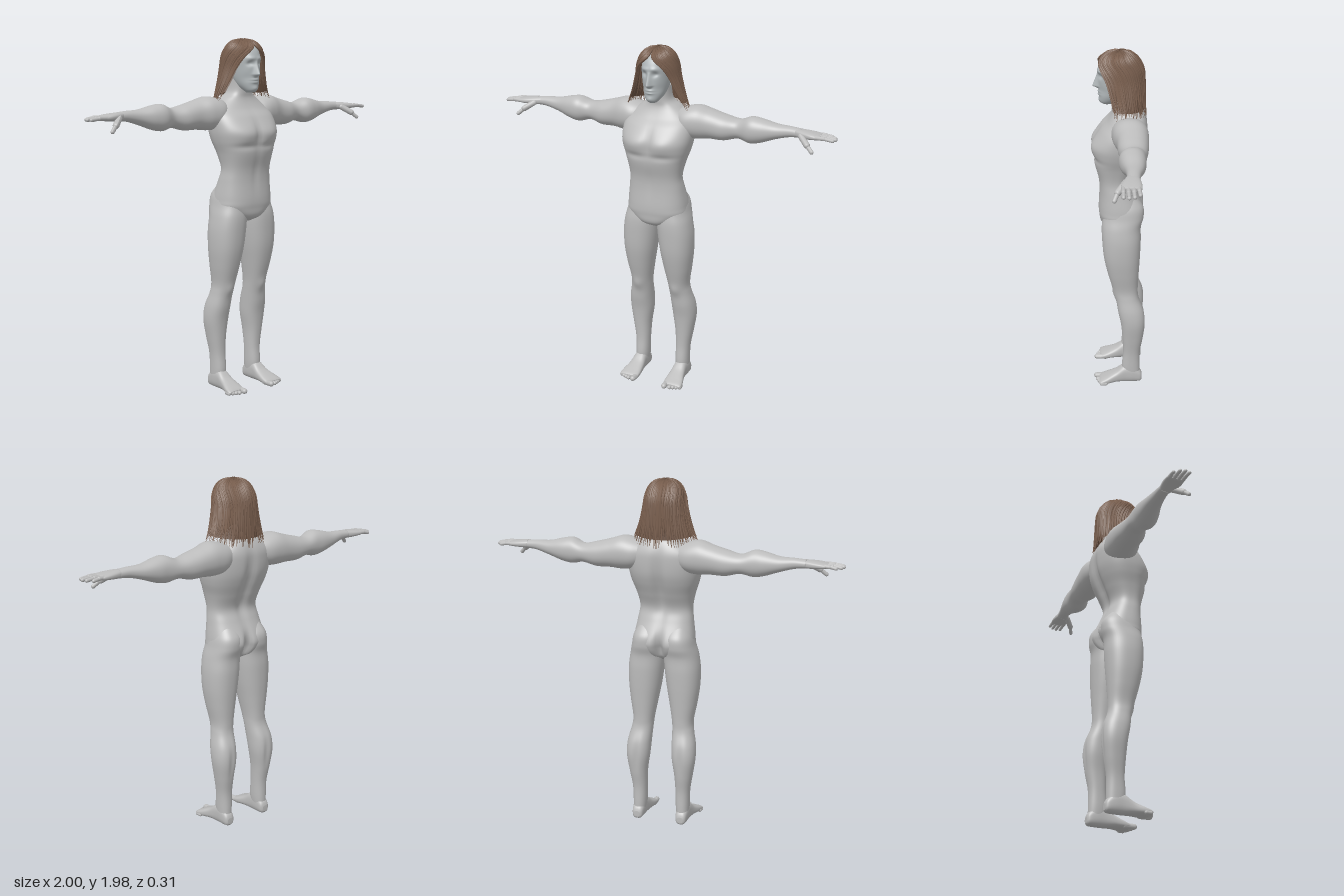
import * as THREE from 'three';

const paint = (name, color, side = THREE.FrontSide) => {
  const m = new THREE.MeshStandardMaterial({ color, side });
  m.name = name;
  return m;
};

// Smooth interpolation through the rows of a section table, v in 0..1
function sample(rows, v) {
  const n = rows.length - 1, s = Math.min(Math.max(v, 0), 1) * n;
  const i = Math.min(Math.floor(s), n - 1), f = s - i;
  const r = k => rows[Math.min(Math.max(k, 0), n)];
  return rows[i].map((_, c) => {
    const p0 = r(i - 1)[c], p1 = r(i)[c], p2 = r(i + 1)[c], p3 = r(i + 2)[c];
    return p1 + 0.5 * f * (p2 - p0 + f * (2 * p0 - 5 * p1 + 4 * p2 - p3 + f * (3 * (p1 - p2) + p3 - p0)));
  });
}

// Grid surface: point(i, j) gives [x, y, z]; closed joins the last column to the first
function grid(nu, nv, closed, point) {
  const pos = [], idx = [], cols = closed ? nu : nu + 1;
  for (let j = 0; j <= nv; j++) for (let i = 0; i < cols; i++) pos.push(...point(i, j));
  for (let j = 0; j < nv; j++) for (let i = 0; i < nu; i++) {
    const k = (i + 1) % cols, a = j * cols + i, b = a + cols, c = j * cols + k, d = c + cols;
    idx.push(a, b, c, c, b, d);
  }
  const g = new THREE.BufferGeometry();
  g.setAttribute('position', new THREE.Float32BufferAttribute(pos, 3));
  g.setIndex(idx);
  g.computeVertexNormals();
  return g;
}

// Capped loft along an axis; each section is [t, aLow, aHigh, bLow, bHigh]
const AXES = { x: (t, a, b) => [t, b, a], y: (t, a, b) => [a, t, b], z: (t, a, b) => [b, a, t] };
function loft(axis, rows, { n = 2.3, seg = 48, steps = 7, sculpt } = {}) {
  const nv = (rows.length - 1) * steps;
  const pw = c => Math.sign(c) * Math.abs(c) ** (2 / n);
  return grid(seg, nv + 2, true, (i, j) => {
    const [t, a0, a1, b0, b1] = sample(rows, (j - 1) / nv);
    const q = (i / seg) * Math.PI * 2, k = j === 0 || j === nv + 2 ? 0 : 1;
    const p = AXES[axis](t, (a0 + a1) / 2 + k * pw(Math.cos(q)) * (a1 - a0) / 2,
      (b0 + b1) / 2 + k * pw(Math.sin(q)) * (b1 - b0) / 2);
    if (sculpt) sculpt(p);
    return p;
  });
}
const symmetric = rows => rows.map(([y, w, back, front]) => [y, -w, w, back, front]);
const bell = (d, s) => Math.exp(-(d * d) / (s * s));

// Rounded rod between two points
function rod(a, b, r) {
  const A = new THREE.Vector3(...a), B = new THREE.Vector3(...b), d = B.clone().sub(A);
  const g = new THREE.CapsuleGeometry(r, d.length(), 5, 10);
  g.applyQuaternion(new THREE.Quaternion().setFromUnitVectors(new THREE.Vector3(0, 1, 0), d.normalize()));
  const m = A.add(B).multiplyScalar(0.5);
  return g.translate(m.x, m.y, m.z);
}
const blob = (x, y, z, rx, ry, rz) => new THREE.SphereGeometry(1, 16, 12).scale(rx, ry, rz).translate(x, y, z);

// Chest, spine and seat modelling
function sculptTorso(p) {
  const [x, y, z] = p, ax = Math.abs(x);
  if (z > 0) {
    p[2] += 0.01 * bell(ax - 0.085, 0.06) * bell(y - 1.46, 0.05);
    p[2] -= 0.012 * bell(x, 0.022) * bell(y - 1.46, 0.08);
    p[2] -= 0.008 * bell(y - 1.395, 0.018) * bell(ax - 0.08, 0.08);
    p[2] -= 0.005 * bell(x, 0.02) * bell(y - 1.25, 0.1);
  } else {
    p[2] += 0.025 * bell(x, 0.03) * bell(y - 1.4, 0.17);
    p[2] += 0.05 * bell(x, 0.022) * bell(y - 1.05, 0.07);
  }
}

// Kneecap and calf modelling
function sculptLeg(p) {
  const [x, y, z] = p;
  if (z > -0.04) p[2] += 0.01 * bell(x - 0.118, 0.03) * bell(y - 0.58, 0.035);
  else p[2] += 0.008 * bell(x - 0.13, 0.015) * bell(y - 0.4, 0.08);
}

// Brow, eye sockets, nose, lips and chin
function sculptHead(p) {
  const [x, y, z] = p, ax = Math.abs(x);
  if (z < 0.02) return;
  const nose = y > 1.785 ? Math.max(0, 1 - (y - 1.785) / 0.075) : Math.max(0, 1 - (1.785 - y) / 0.016);
  p[2] += 0.034 * nose * bell(x, 0.009 + 0.007 * nose);
  p[2] -= 0.013 * bell(ax - 0.032, 0.018) * bell(y - 1.845, 0.014);
  p[2] += 0.005 * bell(ax - 0.03, 0.025) * bell(y - 1.873, 0.01);
  p[2] += 0.006 * bell(x, 0.024) * (bell(y - 1.757, 0.006) + bell(y - 1.742, 0.006));
  p[2] += 0.006 * bell(x, 0.02) * bell(y - 1.708, 0.014);
  p[2] -= 0.005 * bell(ax - 0.05, 0.02) * bell(y - 1.765, 0.025);
}

// Hair envelope: [y, half width, back depth, front depth, opening angle]
const HAIR = [[1.972, 0.004, 0.004, 0.004, 3.14], [1.962, 0.05, 0.06, 0.06, 3.14], [1.93, 0.085, 0.1, 0.102, 3.02],
  [1.88, 0.105, 0.126, 0.122, 2.5], [1.82, 0.116, 0.133, 0.118, 2.2], [1.75, 0.134, 0.135, 0.112, 2.05],
  [1.68, 0.158, 0.138, 0.1, 1.95], [1.61, 0.185, 0.145, 0.09, 1.9]];
function hairPoint(u, v, off) {
  const [y, w, back, front, open] = sample(HAIR, v), q = u * open, c = -Math.cos(q);
  return [Math.sin(q) * (w + off), y + off * (1 - v) + 0.04 * u * u * v ** 4, c * ((c > 0 ? front : back) + off)];
}

export function createModel() {
  const skin = paint('grey skin', 0xbcbcbc), face = paint('cool grey face', 0xb2b8ba);
  const pale = paint('pale eyes', 0xd8d8d6);
  const hair = paint('brown hair', 0x7c6150, THREE.DoubleSide);
  const under = paint('dark brown hair', 0x674f40, THREE.DoubleSide);
  const model = new THREE.Group();
  model.name = 'figure';
  const add = (name, geo, mat, parent = model) => {
    const m = new THREE.Mesh(geo, mat);
    m.name = name;
    parent.add(m);
  };
  const addPair = (name, geo, mat) => {
    add('left' + name, geo, mat);
    const g = geo.clone().scale(-1, 1, 1), ix = g.index.array;
    for (let i = 0; i < ix.length; i += 3) [ix[i], ix[i + 1]] = [ix[i + 1], ix[i]];
    g.computeVertexNormals();
    add('right' + name, g, mat);
  };

  // Torso and neck
  add('torso', loft('y', symmetric([[0.97, 0.03, -0.05, 0.05], [1.0, 0.1, -0.1, 0.1], [1.05, 0.168, -0.132, 0.112],
    [1.1, 0.172, -0.135, 0.115], [1.2, 0.158, -0.09, 0.11], [1.27, 0.15, -0.07, 0.115], [1.35, 0.165, -0.1, 0.135],
    [1.42, 0.188, -0.13, 0.145], [1.48, 0.2, -0.148, 0.145], [1.55, 0.2, -0.154, 0.105], [1.6, 0.178, -0.15, 0.06],
    [1.65, 0.115, -0.13, 0.035], [1.69, 0.068, -0.1, 0.035], [1.77, 0.06, -0.085, 0.045]]),
  { n: 2.5, seg: 96, steps: 8, sculpt: sculptTorso }), skin);

  // Head and eyes
  add('head', loft('y', symmetric([[1.686, 0.02, 0.04, 0.088], [1.7, 0.036, 0.02, 0.103], [1.73, 0.054, -0.03, 0.108],
    [1.77, 0.066, -0.07, 0.11], [1.82, 0.073, -0.095, 0.112], [1.87, 0.075, -0.1, 0.115], [1.92, 0.068, -0.09, 0.095],
    [1.945, 0.048, -0.06, 0.06], [1.955, 0.015, -0.02, 0.02]]),
  { n: 2.2, seg: 128, steps: 12, sculpt: sculptHead }), face);
  addPair('Eye', blob(0.032, 1.846, 0.081, 0.013, 0.006, 0.01), pale);

  // Legs and feet
  addPair('Leg', loft('y', [[0.03, 0.1, 0.165, -0.12, -0.03], [0.1, 0.092, 0.168, -0.12, -0.015],
    [0.2, 0.09, 0.172, -0.12, -0.022], [0.3, 0.085, 0.188, -0.136, -0.018], [0.4, 0.071, 0.203, -0.148, -0.008],
    [0.48, 0.066, 0.2, -0.14, 0.008], [0.56, 0.062, 0.183, -0.11, 0.02], [0.62, 0.057, 0.177, -0.105, 0.038],
    [0.72, 0.04, 0.193, -0.11, 0.066], [0.82, 0.022, 0.205, -0.116, 0.087], [0.92, 0.009, 0.206, -0.12, 0.096],
    [1.0, 0.004, 0.195, -0.12, 0.098], [1.06, 0.006, 0.18, -0.135, 0.09], [1.12, 0.014, 0.166, -0.13, 0.08],
    [1.18, 0.045, 0.135, -0.08, 0.04]], { sculpt: sculptLeg }), skin);
  addPair('Foot', loft('z', [[-0.132, 0.015, 0.05, 0.115, 0.15], [-0.12, 0.003, 0.075, 0.102, 0.162],
    [-0.08, 0, 0.11, 0.096, 0.168], [-0.03, 0, 0.11, 0.094, 0.17], [0.02, 0.002, 0.075, 0.088, 0.178],
    [0.07, 0, 0.05, 0.083, 0.193], [0.105, 0.002, 0.034, 0.085, 0.198], [0.118, 0.008, 0.025, 0.09, 0.19]],
  { n: 2.6 }), skin);
  for (let i = 0; i < 5; i++) {
    const r = i ? 0.0115 : 0.016, x = i ? 0.113 + i * 0.0185 : 0.1;
    addPair('Toe' + (i + 1), rod([x, r, 0.08], [x + 0.002, r, 0.136 - i * 0.008 - (i ? 0 : 0.002)], r), skin);
  }

  // Arms with shoulders, then palms
  addPair('Arm', loft('x', [[0.08, -0.12, 0, 1.53, 1.63], [0.15, -0.148, 0.04, 1.49, 1.655],
    [0.22, -0.154, 0.036, 1.482, 1.667], [0.29, -0.152, 0.016, 1.488, 1.648], [0.37, -0.148, 0.008, 1.488, 1.627],
    [0.45, -0.138, -0.014, 1.506, 1.612], [0.52, -0.132, 0.006, 1.492, 1.636], [0.58, -0.13, 0, 1.502, 1.63],
    [0.66, -0.118, -0.022, 1.53, 1.612], [0.74, -0.1, -0.03, 1.552, 1.608], [0.8, -0.094, -0.028, 1.557, 1.603]],
  { n: 2.2 }), skin);
  addPair('Palm', loft('x', [[0.77, -0.088, -0.032, 1.56, 1.602], [0.81, -0.096, -0.016, 1.558, 1.602],
    [0.86, -0.102, -0.002, 1.56, 1.598], [0.9, -0.1, -0.002, 1.564, 1.592], [0.912, -0.09, -0.01, 1.57, 1.588]],
  { n: 2.6 }), skin);

  // Fingers and thumbs
  [[-0.012, 0.983], [-0.037, 0.99], [-0.062, 0.982], [-0.087, 0.958]].forEach(([z, tip], i) => {
    const mid = [(0.89 + tip) / 2, 1.579, z];
    addPair('Finger' + (i + 1), rod([0.885, 1.579, z * 0.97 - 0.001], mid, 0.0115), skin);
    addPair('Fingertip' + (i + 1), rod(mid, [tip, 1.573, z * 1.04], 0.0098), skin);
  });
  addPair('ThumbBase', rod([0.81, 1.574, -0.025], [0.856, 1.541, 0.014], 0.017), skin);
  addPair('ThumbTip', rod([0.856, 1.541, 0.014], [0.888, 1.512, 0.03], 0.011), skin);

  // Hair: an inner shell with tapering locks laid over it
  const hairGroup = new THREE.Group();
  hairGroup.name = 'hair';
  model.add(hairGroup);
  add('hairShell', grid(64, 32, false, (i, j) => hairPoint(i / 32 - 1, (j / 32) * 0.88, 0)), under, hairGroup);
  let seed = 7;
  const rnd = () => (seed = (seed * 16807) % 2147483647) / 2147483647;
  const locks = 76;
  for (let k = 0; k < locks; k++) {
    const u0 = (k + 0.5) / locks * 2 - 1, len = 0.86 + 0.14 * rnd(), lift = 0.001 + 0.004 * rnd();
    const phase = rnd() * 6.28, width = 0.018 + 0.008 * rnd();
    add('lock', grid(6, 26, true, (i, j) => {
      const s = j / 26, v = s * len, q = (i / 6) * Math.PI * 2;
      const taper = s < 0.7 ? 1 : Math.max(0.05, 1 - ((s - 0.7) / 0.3) ** 1.5);
      const u = u0 * (1 - 0.02 * s) + 0.012 * Math.sin(phase + s * 7) * s + Math.cos(q) * width * taper;
      return hairPoint(u, v, lift + 0.005 * Math.sin(q) * taper);
    }), hair, hairGroup);
  }
  return model;
}
